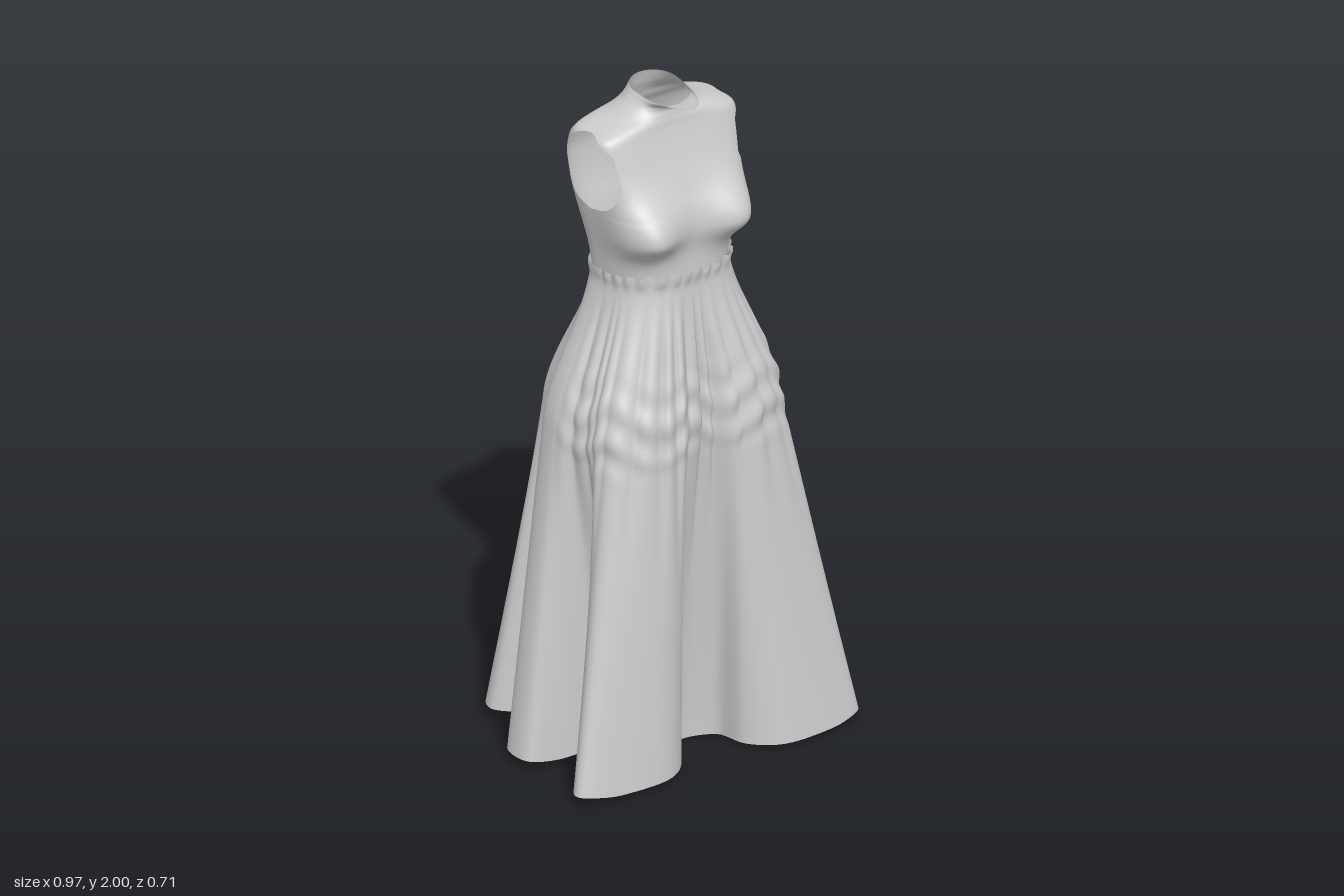
import * as THREE from 'three';
import { mergeGeometries, mergeVertices } from 'three/addons/utils/BufferGeometryUtils.js';

const smooth = THREE.MathUtils.smoothstep;
const lerp = THREE.MathUtils.lerp;

// Surface from a rule fn(u, v) -> [x, y, z]; u runs around, v runs upwards
function grid(cols, rows, fn) {
  const pos = [], index = [];
  for (let j = 0; j <= rows; j++)
    for (let i = 0; i <= cols; i++) pos.push(...fn(i / cols, j / rows));
  for (let j = 0; j < rows; j++)
    for (let i = 0; i < cols; i++) {
      const a = j * (cols + 1) + i, b = a + cols + 1;
      index.push(a, b, a + 1, a + 1, b, b + 1);
    }
  const g = new THREE.BufferGeometry();
  g.setAttribute('position', new THREE.Float32BufferAttribute(pos, 3));
  g.setIndex(index);
  return g;
}

function weld(geometries) {
  const g = mergeVertices(mergeGeometries(geometries), 1e-5);
  g.computeVertexNormals();
  return g;
}

// Point on a rounded-box outline with separate front and back depth
function outline(phi, w, front, back, n) {
  const c = Math.cos(phi), s = Math.sin(phi);
  const r = 1 / Math.pow(Math.abs(c) ** n + Math.abs(s) ** n, 1 / n);
  return [w * c * r, (s > 0 ? front : back) * s * r];
}

// Bodice rows from waist to collar: y, half width, front depth, back depth, squareness
const BODICE = [
  [1.47, 0.195, 0.176, 0.1, 2.6],
  [1.54, 0.203, 0.176, 0.108, 2.8],
  [1.61, 0.215, 0.184, 0.122, 3.2],
  [1.67, 0.224, 0.176, 0.138, 3.6],
  [1.73, 0.23, 0.152, 0.147, 4.2],
  [1.80, 0.236, 0.124, 0.148, 4.8],
  [1.86, 0.239, 0.104, 0.13, 4.9],
  [1.895, 0.234, 0.094, 0.108, 4.4],
  [1.915, 0.196, 0.09, 0.1, 3.4],
  [1.932, 0.143, 0.086, 0.093, 2.6],
  [1.953, 0.107, 0.085, 0.084, 2.2],
  [1.973, 0.087, 0.108, 0.077, 2],
  [1.992, 0.074, 0.18, 0.07, 2],
];

function makeBodice() {
  const last = BODICE.length - 1;
  const rows = new THREE.CubicInterpolant(BODICE.map((_, i) => i), BODICE.flat(), 5, new Float32Array(5));
  const panel = (isBack) => grid(56, last * 9, (u, v) => {
    const [y, w, front, back, n] = rows.evaluate(v * last);
    // Armhole: the panel stops short of the side seam
    const s = (y - 1.79) / 0.115;
    const depth = isBack ? back : front;
    let q = 0;
    if (Math.abs(s) < 1) q = Math.min(0.118 * Math.sqrt(1 - s * s) * (1 - 0.12 * s) / depth, 0.86);
    const start = Math.atan2(q, Math.pow(1 - q ** n, 1 / n));
    const phi = lerp(start, Math.PI - start, u) + (isBack ? Math.PI : 0);
    let [x, z] = outline(phi, w, front, back, n);
    let py = y;
    if (!isBack) {
      // Bust
      const dx = (Math.abs(x) - 0.145) / 0.07, dy = (y - 1.612) / (y > 1.612 ? 0.075 : 0.05);
      const bust = Math.exp(-(dx * dx + dy * dy) * 0.7) * smooth(z, 0, 0.12);
      z += 0.058 * bust;
      x += 0.012 * Math.sign(x) * bust;
    } else {
      // Hollow of the spine
      z += 0.014 * Math.exp(-((x / 0.07) ** 2)) * smooth(y, 1.55, 1.75) * (1 - smooth(y, 1.82, 1.9));
    }
    // Collar tilts down towards its front lip
    py += (z > 0 ? -0.008 : 0.008) * Math.min(1, Math.abs(z) / 0.07) * smooth(y, 1.95, 1.99);
    return [x, py, z];
  });
  return weld([panel(false), panel(true)]);
}

// Left half of the skirt from front centre to back centre, at the hip and at the hem
const HIP = [
  [0, 0.22], [0.05, 0.236], [0.10, 0.263], [0.17, 0.265], [0.25, 0.235], [0.30, 0.195],
  [0.318, 0.15], [0.316, 0.105], [0.325, 0.06], [0.34, 0.025], [0.346, -0.02], [0.335, -0.075],
  [0.295, -0.112], [0.255, -0.14], [0.243, -0.178], [0.225, -0.218], [0.17, -0.237],
  [0.11, -0.223], [0.05, -0.197], [0, -0.185],
];
const HEM = [
  [0, 0.13], [0.085, 0.17], [0.105, 0.28], [0.21, 0.352], [0.42, 0.338], [0.477, 0.292],
  [0.4, 0.2], [0.23, 0.13], [0.25, 0.06], [0.38, 0.048], [0.475, 0.025], [0.475, -0.07],
  [0.39, -0.108], [0.235, -0.085], [0.25, -0.165], [0.37, -0.275], [0.31, -0.357],
  [0.2, -0.305], [0.1, -0.2], [0, -0.14],
];

function makeSkirt() {
  const half = HIP.length - 1, count = half * 2, perPoint = 9, rows = 100, top = 1.485;
  // Full rings: left half, then its slightly uneven mirror
  const ring = (pts, uneven) => Array.from({ length: count }, (_, i) => {
    if (i <= half) return pts[i];
    const [x, z] = pts[count - i];
    return uneven ? [-x * (z > 0.1 ? 1.02 : 0.97), z > 0.2 ? z * 0.95 : z] : [-x, z];
  });
  const hip = ring(HIP, false), hem = ring(HEM, true);
  const waist = hip.map(([x, z]) =>
    outline(Math.atan2(z / (z > 0 ? 0.265 : 0.235), x / 0.345), 0.196, 0.178, 0.102, 2.6));

  const curves = Array.from({ length: rows + 1 }, (_, j) => {
    const y = top * j / rows;
    const pts = hip.map((h, i) => {
      const from = y > 1 ? waist[i] : hem[i];
      // Valleys between the flares deepen sooner than the flares spread
      const inward = Math.hypot(...hem[i]) < Math.hypot(...h);
      const t = y > 1 ? lerp(smooth(top - y, 0, top - 1), (top - y) / (top - 1), 0.2)
        : y ** (inward ? 1.35 : 1);
      return new THREE.Vector3(lerp(from[0], h[0], t), 0, lerp(from[1], h[1], t));
    });
    return new THREE.CatmullRomCurve3(pts, true, 'catmullrom', 0.5);
  });

  return weld([grid(count * perPoint, rows, (u, v) => {
    const y = top * v, turn = (1 - u) % 1, c = turn * count;
    const p = curves[Math.round(v * rows)].getPoint(turn);
    const fromFront = Math.min(c, count - c);
    const front = 1 - smooth(fromFront, 7.5, 10);
    const r = Math.hypot(p.x, p.z);
    // Narrow gathers falling from the waist, of uneven depth
    const fold = Math.abs(Math.sin(Math.PI * fromFront * 0.95 + 0.7 * Math.sin(c * 1.7)));
    const depth = 0.014 + 0.006 * Math.sin(c * 0.9 + 1);
    let d = depth * (fold - 0.7) * front * smooth(y, 0.45, 1.05) * (1 - smooth(y, 1.22, 1.45));
    // Crinkled band below the hip
    d += 0.005 * Math.sin(y * 58 + 2.2 * Math.sin(c * 1.3)) * front
      * smooth(y, 0.9, 1.0) * (1 - smooth(y, 1.08, 1.25));
    // Ruffled waist edge
    const ruffle = smooth(y, 1.44, 1.475);
    d += ruffle * (0.009 + 0.004 * Math.sin(c * 5.1) * front);
    // Hem rises towards the sides and back
    const lift = 0.005 + 0.013 * smooth(r, 0.13, 0.28) + 0.025 * smooth(-p.z, 0, 0.3)
      + 0.015 * smooth(Math.abs(p.x), 0.36, 0.5);
    const py = y + lift * Math.max(0, 1 - y) + ruffle * 0.005 * Math.sin(c * 4.3) * front;
    return [p.x * (1 + d / r), py, p.z * (1 + d / r)];
  })]);
}

export function createModel() {
  const fabric = new THREE.MeshStandardMaterial({ color: 0xcccccc, side: THREE.DoubleSide });
  fabric.name = 'greyFabric';
  const group = new THREE.Group();
  group.name = 'dress';
  const add = (name, geometry) => {
    const mesh = new THREE.Mesh(geometry, fabric);
    mesh.name = name;
    group.add(mesh);
  };
  add('bodice', makeBodice());
  add('skirt', makeSkirt());
  return group;
}
